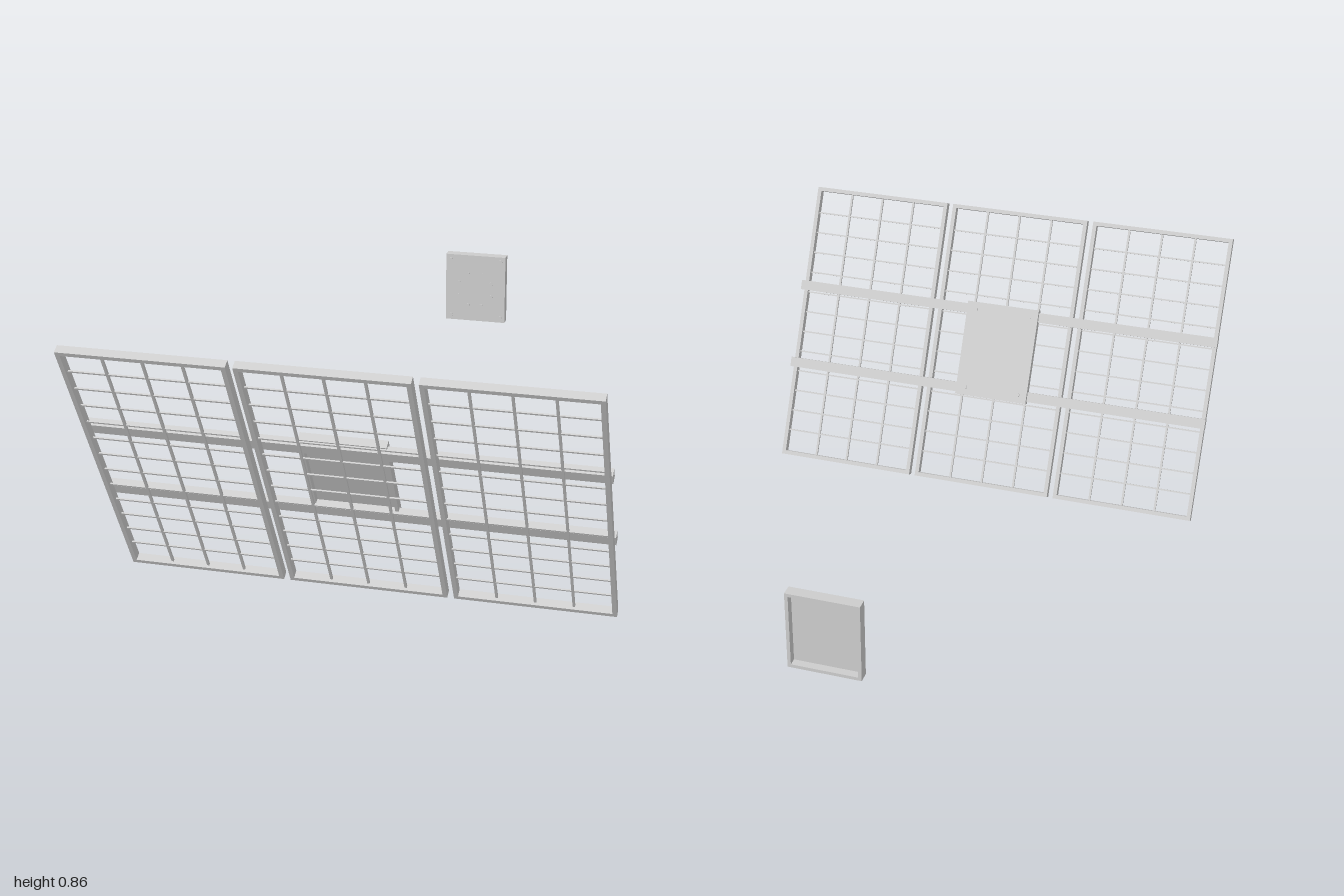
import * as THREE from 'three';

const grey = new THREE.MeshStandardMaterial({ color: 0xcccccc, flatShading: true });

function box(parent, name, w, h, d, x, y, z) {
  const m = new THREE.Mesh(new THREE.BoxGeometry(w, h, d), grey);
  m.name = name;
  m.position.set(x, y, z);
  parent.add(m);
  return m;
}

// Short round stud whose axis runs along z
function stud(parent, name, r, len, x, y, z) {
  const m = new THREE.Mesh(new THREE.CylinderGeometry(r, r, len, 12), grey);
  m.name = name;
  m.rotation.x = Math.PI / 2;
  m.position.set(x, y, z);
  parent.add(m);
}

// One framed panel with its wire grid
function makePanel(x) {
  const g = new THREE.Group();
  g.name = 'panel';
  g.position.x = x;
  const w = 0.479, h = 0.957, d = 0.026, t = 0.013;
  for (const s of [-1, 1]) {
    box(g, 'frameSide', t, h, d, s * (w - t) / 2, 0, 0);
    box(g, 'frameEnd', w - 2 * t, t, d, 0, s * (h - t) / 2, 0);
  }
  for (let i = -1; i <= 1; i++) box(g, 'gridUpright', 0.007, h - 2 * t, 0.007, i * 0.1135, 0, 0);
  for (let i = 0; i < 12; i++) box(g, 'gridCrossbar', w - 2 * t, 0.005, 0.005, 0, (i - 5.5) * 0.0708, 0);
  return g;
}

// Shallow tray: a face plate at z = 0 with rims reaching back to z = -depth
function makeTray(name, w, h, depth, boltX, boltY) {
  const g = new THREE.Group();
  g.name = name;
  const t = 0.01;
  box(g, 'facePlate', w, h, t, 0, 0, -t / 2);
  for (const s of [-1, 1]) {
    box(g, 'sideRim', t, h, depth - t, s * (w - t) / 2, 0, -(depth + t) / 2);
    box(g, 'endRim', w - 2 * t, t, depth - t, 0, s * (h - t) / 2, -(depth + t) / 2);
    for (const v of [-1, 1]) stud(g, 'cornerBolt', 0.007, 0.006, s * boltX, v * boltY, 0.001);
  }
  return g;
}

export function createModel() {
  const root = new THREE.Group();
  root.name = 'panelArray';

  // Tilted array: local z is the front normal of the panels
  const array = new THREE.Group();
  array.name = 'tiltedArray';
  array.position.set(0, 0.4285, 0.7625);
  array.rotation.x = 0.489;
  for (const i of [-1, 0, 1]) array.add(makePanel(i * 0.4995));

  // Support rails across the back
  for (const y of [-0.147, 0.128]) box(array, 'rail', 1.486, 0.033, 0.027, 0, y, -0.0265);

  // Mounting tray over the rails, face turned to the rear
  const mount = makeTray('mountingTray', 0.252, 0.324, 0.027, 0.094, 0.135);
  mount.rotation.y = Math.PI;
  mount.position.set(0, -0.009, -0.053);
  array.add(mount);
  root.add(array);

  // Separate rear bracket with a ring of small studs standing off its face
  const bracket = makeTray('rearBracket', 0.216, 0.246, 0.034, 0.09, 0.105);
  bracket.position.set(0, 0.4395, -0.966);
  for (let i = 0; i < 8; i++) {
    const a = (i + 0.5) * Math.PI / 4;
    stud(bracket, 'ringStud', 0.006, 0.004, 0.064 * Math.cos(a), 0.064 * Math.sin(a), 0.014);
  }
  root.add(bracket);
  return root;
}
